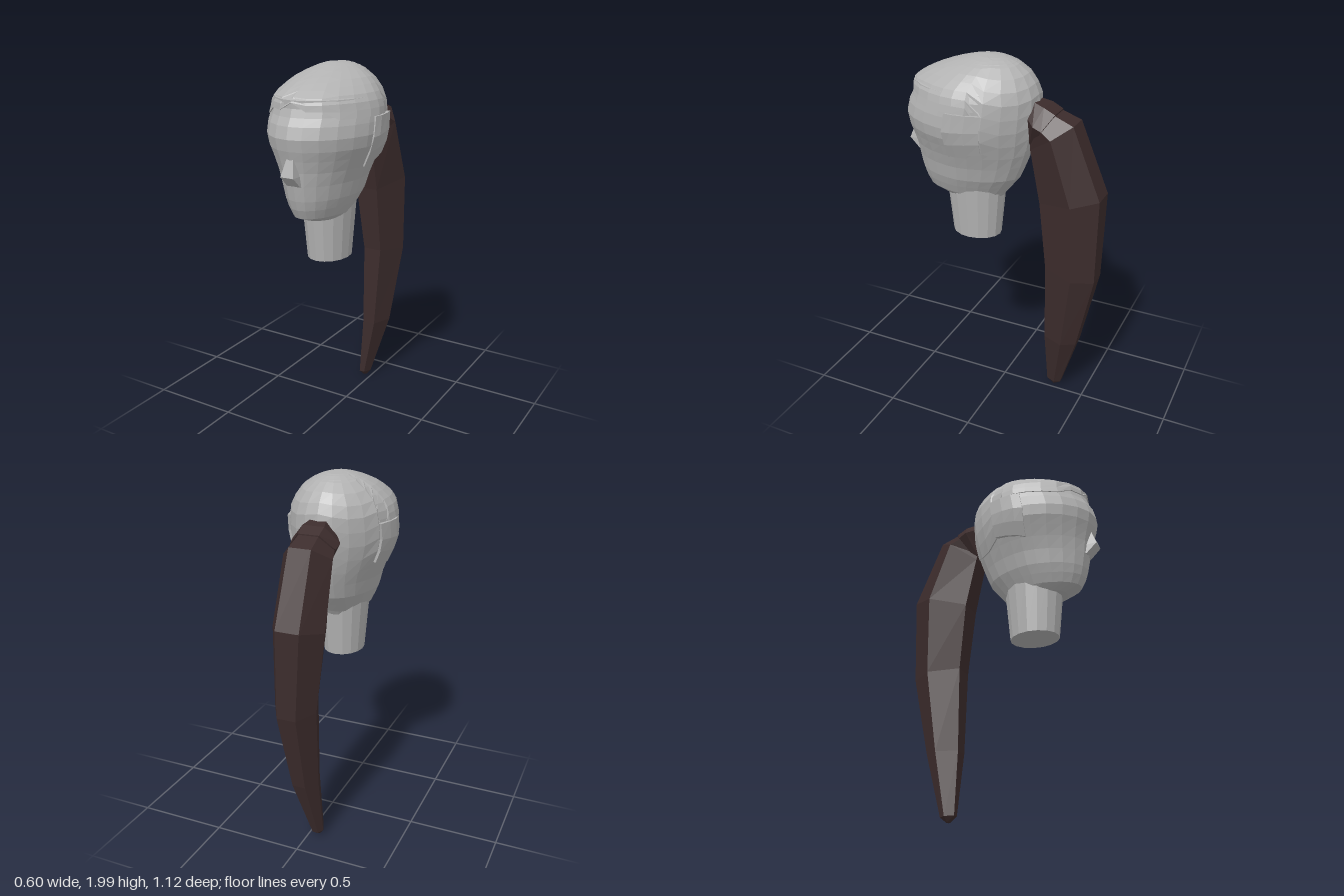
import * as THREE from 'three';

const grey = new THREE.MeshStandardMaterial({ color: 0xb2b2b2 });
grey.name = 'pale grey';
const brown = new THREE.MeshStandardMaterial({ color: 0x3c2c2c });
brown.name = 'dark brown';

// Faceted surface through rows of points; optionally closed around and capped at the ends
function loft(name, material, rows, { closed = true, capStart = false, capEnd = false } = {}) {
  const pos = [];
  const tri = (...pts) => pts.forEach((p) => pos.push(p.x, p.y, p.z));
  for (let j = 0; j < rows.length - 1; j++) {
    const a = rows[j], b = rows[j + 1], n = a.length;
    for (let i = 0; i < (closed ? n : n - 1); i++) {
      const k = (i + 1) % n;
      tri(a[i], a[k], b[k]);
      tri(a[i], b[k], b[i]);
    }
  }
  const cap = (row, flip) => {
    const c = row.reduce((s, p) => s.add(p), new THREE.Vector3()).divideScalar(row.length);
    row.forEach((p, i) => {
      const q = row[(i + 1) % row.length];
      if (flip) tri(c, q, p); else tri(c, p, q);
    });
  };
  if (capStart) cap(rows[0], true);
  if (capEnd) cap(rows[rows.length - 1], false);
  const geometry = new THREE.BufferGeometry();
  geometry.setAttribute('position', new THREE.Float32BufferAttribute(pos, 3));
  geometry.computeVertexNormals();
  const mesh = new THREE.Mesh(geometry, material);
  mesh.name = name;
  return mesh;
}

// Head cross-sections: height, half width, front z, back z
const SECTIONS = [
  [1.22, 0.11, 0.37, 0.01], [1.25, 0.13, 0.45, -0.01], [1.3, 0.155, 0.475, -0.05],
  [1.35, 0.178, 0.49, -0.09], [1.43, 0.2, 0.505, -0.125], [1.5, 0.228, 0.515, -0.15],
  [1.56, 0.255, 0.53, -0.165], [1.61, 0.278, 0.545, -0.175], [1.67, 0.289, 0.556, -0.185],
  [1.73, 0.288, 0.54, -0.19], [1.77, 0.284, 0.518, -0.192], [1.81, 0.277, 0.505, -0.188],
  [1.85, 0.262, 0.505, -0.175], [1.89, 0.23, 0.44, -0.155], [1.93, 0.185, 0.36, -0.12],
  [1.97, 0.12, 0.24, -0.06], [1.99, 0.06, 0.16, 0], [1.998, 0.003, 0.103, 0.097],
];
const SEGMENTS = 24;

// Point on the head: angle 0 is the front, growing towards +x
function headPoint(y, angle, offset = 0) {
  let k = 0;
  while (k < SECTIONS.length - 2 && SECTIONS[k + 1][0] < y) k++;
  const lo = SECTIONS[k], hi = SECTIONS[k + 1];
  const t = THREE.MathUtils.clamp((y - lo[0]) / (hi[0] - lo[0]), 0, 1);
  const [, w, front, back] = lo.map((v, i) => THREE.MathUtils.lerp(v, hi[i], t));
  const c = Math.cos(angle);
  const depth = Math.sign(c) * Math.abs(c) ** 1.2;
  return new THREE.Vector3(
    (w + offset) * Math.sin(angle), y, (front + back) / 2 + ((front - back) / 2 + offset) * depth);
}
const around = (fn) => Array.from({ length: SEGMENTS }, (_, i) => fn((i / SEGMENTS) * Math.PI * 2, i));

// Raised panel on the side of the head
function earPanel(side) {
  const at = (u, v, off) => {
    const angle = THREE.MathUtils.degToRad(THREE.MathUtils.lerp(82, 119, u));
    const y = THREE.MathUtils.lerp(THREE.MathUtils.lerp(1.5, 1.54, u), 1.755, v);
    const p = headPoint(y, angle, off);
    p.x *= side;
    return p;
  };
  const us = [0, 0.33, 0.67, 1].map((u) => (side > 0 ? u : 1 - u));
  const row = (v, lift) => [at(us[0], v, -0.01), ...us.map((u) => at(u, v, lift ? 0.008 + 0.012 * u : -0.01)),
    at(us[3], v, -0.01)];
  const rows = [row(0, false), ...[0, 0.3, 0.6, 1].map((v) => row(v, true)), row(1, false)];
  return loft(side > 0 ? 'leftEarPanel' : 'rightEarPanel', grey, rows, { closed: false });
}

// Six-sided hair section between a front and a back point
function hairRing([frontY, frontZ, backY, backZ, w, cx = 0]) {
  const corners = [[0.45, 0], [1, 0.6], [0.45, 1], [-0.45, 1], [-1, 0.6], [-0.45, 0]];
  return corners.map(([u, t]) => new THREE.Vector3(
    cx + u * w, THREE.MathUtils.lerp(frontY, backY, t), THREE.MathUtils.lerp(frontZ, backZ, t)));
}

export function createModel() {
  const model = new THREE.Group();
  model.name = 'headWithPonytail';

  // Head and neck
  model.add(loft('head', grey, SECTIONS.map(([y]) => around((a) => headPoint(y, a))),
    { capStart: true, capEnd: true }));
  const neck = new THREE.Mesh(
    new THREE.CylinderGeometry(0.137, 0.112, 0.32, 16).toNonIndexed(), grey);
  neck.geometry.computeVertexNormals();
  neck.name = 'neck';
  neck.scale.z = 1.25;
  neck.position.set(0, 1.14, 0.17);
  model.add(neck);

  // Nose wedge: bridge, tip and underside
  const noseRow = (y, z, w) => [[-w, 0.45], [-w, z], [w, z], [w, 0.45]].map(([x, d]) => new THREE.Vector3(x, y, d));
  model.add(loft('nose', grey,
    [noseRow(1.43, 0.503, 0.04), noseRow(1.485, 0.56, 0.038), noseRow(1.57, 0.53, 0.02)],
    { capStart: true, capEnd: true }));

  // Hair cap with a stepped lower edge, front to back
  const edge = [1.84, 1.8, 1.8, 1.76, 1.76, 1.76, 1.76, 1.755, 1.54, 1.5, 1.5, 1.53, 1.56];
  const capRow = (t, offset) => around((a, i) =>
    headPoint(THREE.MathUtils.lerp(edge[Math.min(i, SEGMENTS - i)], 1.998, t), a, offset));
  const capRows = [capRow(0, -0.01)];
  for (const t of [0, 0.15, 0.3, 0.45, 0.6, 0.72, 0.83, 0.92, 0.97, 1]) {
    capRows.push(capRow(t, t === 1 ? 0 : 0.006));
  }
  model.add(loft('hairCap', grey, capRows, { capEnd: true }));
  model.add(earPanel(1), earPanel(-1));

  // Ponytail: front y, front z, back y, back z, half width, centre x
  const tail = [
    [1.6, -0.14, 1.78, -0.17, 0.09], [1.58, -0.165, 1.75, -0.27, 0.115],
    [1.54, -0.17, 1.7, -0.4, 0.135], [1.25, -0.23, 1.32, -0.56, 0.145],
    [0.87, -0.275, 0.84, -0.557, 0.119, 0.017], [0.39, -0.27, 0.39, -0.46, 0.083, 0],
    [0.04, -0.27, 0.035, -0.352, 0.035, -0.045], [0.008, -0.3, 0.008, -0.32, 0.012, -0.045],
  ].map(hairRing);
  model.add(loft('ponytail', brown, tail.reverse(), { capStart: true, capEnd: true }));

  // Hair tie
  const tie = [
    [1.61, -0.15, 1.79, -0.185, 0.1], [1.57, -0.165, 1.775, -0.24, 0.132],
    [1.56, -0.185, 1.745, -0.3, 0.126], [1.6, -0.2, 1.72, -0.3, 0.1],
  ].map(hairRing);
  model.add(loft('hairTie', brown, tie.reverse(), { capStart: true, capEnd: true }));

  return model;
}
